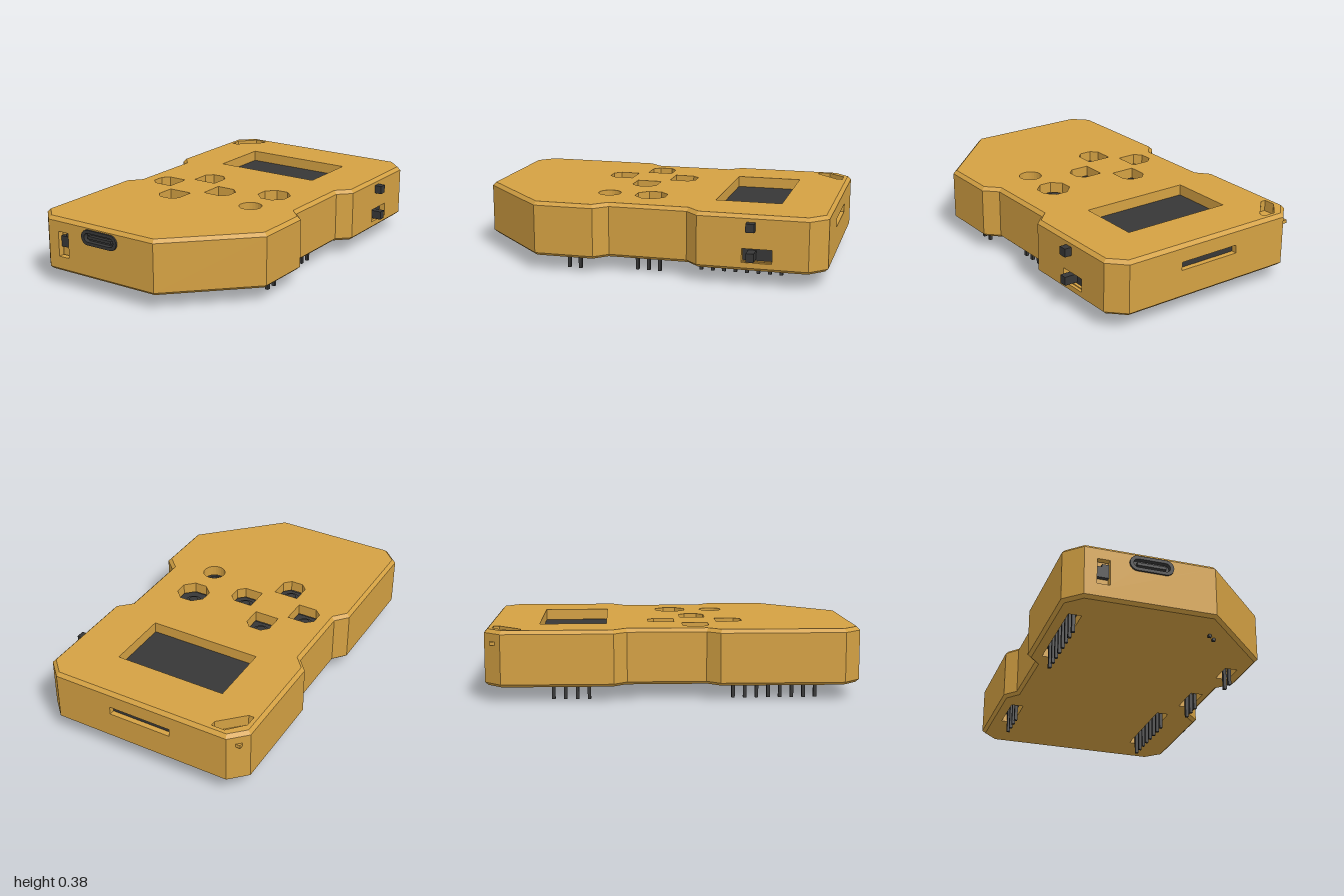
import * as THREE from 'three';

export function createModel() {
  const model = new THREE.Group();
  model.name = 'handheldConsole';
  const shell = new THREE.MeshStandardMaterial({ color: 0xd4a143 });
  shell.name = 'mustard shell';
  const dark = new THREE.MeshStandardMaterial({ color: 0x373737 });
  dark.name = 'dark electronics';

  const add = (name, geo, mat, parent = model) => {
    const m = new THREE.Mesh(geo, mat);
    m.name = name;
    parent.add(m);
    return m;
  };
  // Box given by its min and max corners
  const box = (name, mat, x0, x1, y0, y1, z0, z1) => {
    const m = add(name, new THREE.BoxGeometry(x1 - x0, y1 - y0, z1 - z0), mat);
    m.position.set((x0 + x1) / 2, (y0 + y1) / 2, (z0 + z1) / 2);
    return m;
  };
  const rect = (x0, x1, z0, z1) => [[x0, z0], [x1, z0], [x1, z1], [x0, z1]];
  const ngon = (cx, cz, r, n) => Array.from({ length: n }, (_, i) => {
    const a = ((i + 0.5) / n) * Math.PI * 2;
    return [cx + r * Math.cos(a), cz + r * Math.sin(a)];
  });
  const path = (pts, s = 1) => pts.map(([x, y]) => new THREE.Vector2(x, y * s));
  // Horizontal plate from an x,z outline, with holes
  const slab = (outline, holes, y0, y1) => {
    const s = new THREE.Shape(path(outline, -1));
    s.holes = holes.map((h) => new THREE.Path(path(h, -1)));
    return new THREE.ExtrudeGeometry(s, { depth: y1 - y0, bevelEnabled: false })
      .rotateX(-Math.PI / 2).translate(0, y0, 0);
  };
  const stadium = (cx, cy, w, h) => {
    const r = h / 2, d = w / 2 - r, pts = [];
    for (let i = 0; i <= 10; i++) {
      const a = -Math.PI / 2 + (i / 10) * Math.PI;
      pts.push([cx + d + r * Math.cos(a), cy + r * Math.sin(a)]);
    }
    return pts.concat(pts.map(([x, y]) => [2 * cx - x, 2 * cy - y]));
  };

  // Case outline (x, z), anticlockwise from above, starting with the front edge
  const outline = [
    [-0.53, 0.99], [0.17, 0.99], [0.58, 0.58], [0.58, 0.25], [0.51, 0.18], [0.51, -0.25],
    [0.58, -0.32], [0.58, -0.91], [0.49, -1], [-0.53, -1], [-0.62, -0.91], [-0.62, -0.32],
    [-0.56, -0.25], [-0.56, 0.17], [-0.62, 0.24], [-0.62, 0.9],
  ];
  const N = outline.length;
  const normal = (i) => {
    const a = outline[(i + N) % N], b = outline[(i + 1) % N];
    const l = Math.hypot(b[0] - a[0], b[1] - a[1]);
    return [-(b[1] - a[1]) / l, (b[0] - a[0]) / l];
  };
  const inset = (d) => outline.map(([x, z], i) => {
    const p = normal(i - 1), q = normal(i), k = d / (1 + p[0] * q[0] + p[1] * q[1]);
    return [x - (p[0] + q[0]) * k, z - (p[1] + q[1]) * k];
  });
  const rim = inset(0.018);

  // Side walls, one panel per edge, with port openings in (along edge, y)
  const usb = stadium(-0.1775, 0.3125, 0.235, 0.083);
  const wallHoles = {
    0: [usb.map(([x, y]) => [x + 0.53, y]), rect(0.067, 0.135, 0.165, 0.305)],
    6: [rect(0.24, 0.4, 0.125, 0.2)],
    8: [rect(0.33, 0.69, 0.24, 0.285)],
  };
  const walls = new THREE.Group();
  walls.name = 'sideWalls';
  model.add(walls);
  outline.forEach((a, i) => {
    const b = outline[(i + 1) % N], dx = b[0] - a[0], dz = b[1] - a[1];
    const s = new THREE.Shape(path(rect(0, Math.hypot(dx, dz), 0.096, 0.361)));
    s.holes = (wallHoles[i] || []).map((h) => new THREE.Path(path(h)));
    const g = new THREE.ExtrudeGeometry(s, { depth: 0.035, bevelEnabled: false }).translate(0, 0, -0.035);
    const m = add('wallPanel', g, shell, walls);
    m.position.set(a[0], 0, a[1]);
    m.rotation.y = Math.atan2(-dz, dx);
  });

  // Chamfers along the top and bottom edges
  const chamfer = (name, low, y0, high, y1) => {
    const v = [];
    for (let i = 0; i < N; i++) {
      const j = (i + 1) % N;
      const A = [low[i][0], y0, low[i][1]], B = [low[j][0], y0, low[j][1]];
      const C = [high[j][0], y1, high[j][1]], D = [high[i][0], y1, high[i][1]];
      v.push(...A, ...B, ...C, ...A, ...C, ...D);
    }
    const g = new THREE.BufferGeometry();
    g.setAttribute('position', new THREE.Float32BufferAttribute(v, 3));
    g.computeVertexNormals();
    add(name, g, shell);
  };
  chamfer('topChamfer', outline, 0.361, rim, 0.38);
  chamfer('bottomChamfer', rim, 0.08, outline, 0.096);

  // Direction pad openings: squares with the two outer corners cut
  const pad = [[-0.07, -0.035], [-0.035, -0.072], [0.035, -0.072], [0.07, -0.035], [0.07, 0.072], [-0.07, 0.072]];
  const padAt = [[-0.22, -0.062, 0], [-0.022, 0.12, 1], [-0.22, 0.313, 2], [-0.403, 0.12, 3]];
  const padHoles = padAt.map(([cx, cz, q]) => {
    const c = Math.round(Math.cos(q * Math.PI / 2)), s = Math.round(Math.sin(q * Math.PI / 2));
    return pad.map(([x, z]) => [cx + x * c - z * s, cz + x * s + z * c]);
  });
  const lanyard = [[-0.58, -0.87], [-0.5, -0.96], [-0.425, -0.96], [-0.425, -0.93], [-0.55, -0.805], [-0.58, -0.805]];
  add('topPlate', slab(rim, [
    rect(-0.35, 0.285, -0.72, -0.36), ...padHoles,
    ngon(0.26, 0.01, 0.092, 8), ngon(0.26, 0.25, 0.063, 24), lanyard,
  ], 0.32, 0.38), shell);
  box('lanyardRecessFloor', shell, -0.59, -0.41, 0.3, 0.319, -0.965, -0.79);

  // Display and circuit board
  box('display', dark, -0.37, 0.305, 0.22, 0.318, -0.74, -0.34);
  add('circuitBoard', slab(inset(0.055), [], 0.2, 0.22), dark);

  // Push buttons beneath their openings
  const buttons = [...padAt.map(([x, z]) => [x, z, 0.08]), [0.26, 0.01, 0.095], [0.26, 0.25, 0.07]];
  for (const [x, z, r] of buttons) {
    box('buttonBody', dark, x - r, x + r, 0.22, 0.31, z - r, z + r);
    [[0.045, 0.322], [0.025, 0.332]].forEach(([cr, top]) => {
      add('buttonCap', new THREE.CylinderGeometry(cr, cr, top - 0.3, 20), dark)
        .position.set(x, (top + 0.3) / 2, z);
    });
  }

  // Header pins: x, first z, count, with a slot in the base for each row
  const pitch = 0.0629;
  const rows = [[-0.515, 0.315, 8], [-0.515, -0.64, 4], [0.34, -0.735, 8], [0.425, -0.083, 3], [0.48, 0.352, 2]];
  const slots = rows.map(([x, z, n]) => rect(x - 0.035, x + 0.035, z - 0.035, z + pitch * (n - 1) + 0.035));
  add('basePlate', slab(rim, slots, 0.08, 0.13), shell);
  for (const [x, z, n] of rows) {
    for (let i = 0; i < n; i++) {
      const c = z + i * pitch;
      box('headerPin', dark, x - 0.009, x + 0.009, 0, 0.21, c - 0.009, c + 0.009);
    }
  }
  for (const [x, z] of [[0.207, 0.8], [0.243, 0.765]]) {
    box('shortPin', dark, x - 0.008, x + 0.008, 0.065, 0.21, z - 0.008, z + 0.008);
  }

  // Charging port: rounded sleeve, back and inner tongue
  const sleeve = new THREE.Shape(path(usb));
  sleeve.holes = [new THREE.Path(path(stadium(-0.1775, 0.3125, 0.195, 0.048)))];
  add('chargingPortSleeve', new THREE.ExtrudeGeometry(sleeve, { depth: 0.05, bevelEnabled: false, curveSegments: 6 })
    .translate(0, 0, 0.95), dark);
  box('chargingPortBack', dark, -0.285, -0.07, 0.28, 0.345, 0.9, 0.974);
  box('chargingPortTongue', dark, -0.255, -0.1, 0.304, 0.32, 0.95, 0.994);

  // Front slide switch in its pocket
  box('switchPocket', shell, -0.48, -0.38, 0.15, 0.32, 0.93, 0.945);
  box('switchBody', dark, -0.463, -0.395, 0.215, 0.275, 0.94, 0.968);
  box('switchKnob', dark, -0.43, -0.395, 0.275, 0.292, 0.94, 0.965);

  // Side button and side power slider
  box('sideButton', dark, 0.5, 0.62, 0.296, 0.342, -0.632, -0.586);
  box('sliderBody', dark, 0.46, 0.545, 0.12, 0.205, -0.73, -0.55);
  box('sliderKnob', dark, 0.53, 0.62, 0.138, 0.185, -0.632, -0.59);

  // Card reader behind the back slot
  box('cardReader', dark, -0.21, 0.17, 0.22, 0.272, -0.97, -0.75);

  return model;
}
